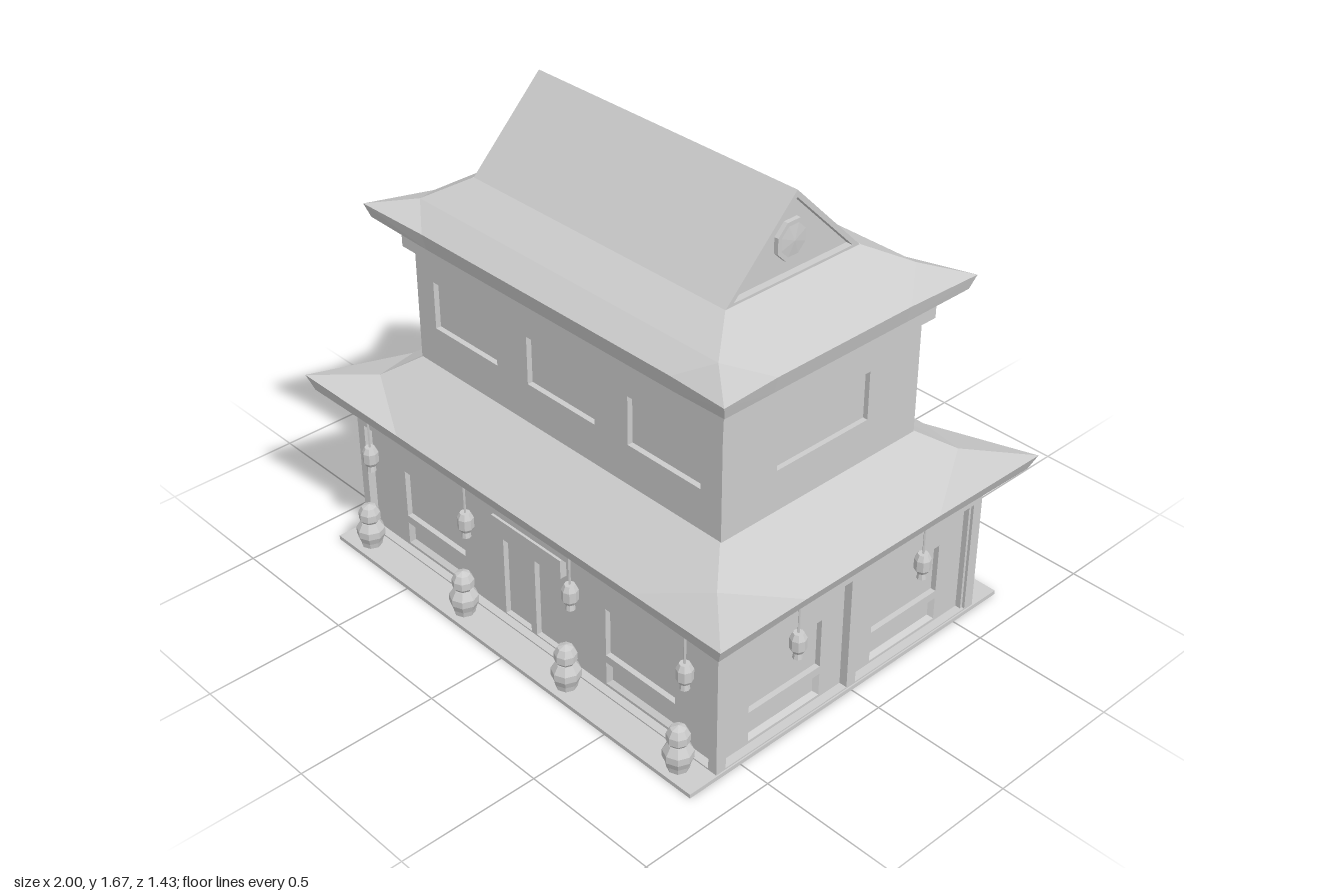
import * as THREE from 'three';

const grey = new THREE.MeshStandardMaterial({ color: 0xcccccc, flatShading: true });

function add(parent, name, geo, x = 0, y = 0, z = 0) {
  const mesh = new THREE.Mesh(geo, grey);
  mesh.name = name;
  mesh.position.set(x, y, z);
  parent.add(mesh);
  return mesh;
}

// Skin over a list of closed rings, each ring counter-clockwise seen from outside
function loft(rings) {
  const pos = [];
  for (let i = 0; i + 1 < rings.length; i++) {
    const n = rings[i].length;
    for (let j = 0; j < n; j++) {
      const k = (j + 1) % n;
      const a = rings[i][j], b = rings[i][k], c = rings[i + 1][k], d = rings[i + 1][j];
      pos.push(...(j % 3 === 0 ? [a, b, d, b, c, d] : [a, b, c, a, c, d]).flat());
    }
  }
  const geo = new THREE.BufferGeometry();
  geo.setAttribute('position', new THREE.Float32BufferAttribute(pos, 3));
  geo.computeVertexNormals();
  return geo;
}

// Ring of a roof skirt: a corner point and the straight stretch of each eave
function roofRing([cx, cy, cz], [ex, ey, ez], mx, mz) {
  return [
    [-cx, cy, cz], [-mx, ey, ez], [mx, ey, ez],
    [cx, cy, cz], [ex, ey, mz], [ex, ey, -mz],
    [cx, cy, -cz], [mx, ey, -ez], [-mx, ey, -ez],
    [-cx, cy, -cz], [-ex, ey, -mz], [-ex, ey, mz],
  ];
}

function rectPath(Type, [x0, y0, x1, y1]) {
  return new Type([[x0, y0], [x1, y0], [x1, y1], [x0, y1]].map(p => new THREE.Vector2(...p)));
}

// Wall layer with rectangular openings, its front at z = front
function wallLayer(parent, name, rect, openings, front, depth) {
  const shape = rectPath(THREE.Shape, rect);
  shape.holes = openings.map(o => rectPath(THREE.Path, o));
  add(parent, name, new THREE.ExtrudeGeometry(shape, { depth, bevelEnabled: false }), 0, 0, front - depth);
}

// Sunken panel with sloping edges
function slopedPanel(parent, [x0, y0, x1, y1], front, depth) {
  const s = 0.014;
  const r = (i, z) => [[x0 + i, y0 + i, z], [x1 - i, y0 + i, z], [x1 - i, y1 - i, z], [x0 + i, y1 - i, z]];
  add(parent, 'lowerPanelEdge', loft([r(0, front), r(s, front - depth)]));
}

function facade(parent, name, turn) {
  const g = new THREE.Group();
  g.name = name;
  g.rotation.y = turn;
  parent.add(g);
  return g;
}

const windowAt = x => [x - 0.158, 0.145, x + 0.158, 0.33];
const panelAt = x => [x - 0.158, 0.03, x + 0.158, 0.115];

// One ground floor side: outer frame, inner wall with openings, solid core behind
function groundSide(parent, name, turn, half, dist, bays, windows, doors) {
  const g = facade(parent, name, turn);
  wallLayer(g, 'wallFrame', [-half, 0.015, half, 0.52], bays, dist, 0.03);
  const panels = windows.map(panelAt);
  wallLayer(g, 'innerWall', [-half + 0.01, 0.015, half - 0.01, 0.5],
    [...windows.map(windowAt), ...panels, ...doors], dist - 0.03, 0.02);
  panels.forEach(p => slopedPanel(g, p, dist - 0.03, 0.016));
  panels.forEach(([x0, y0, x1, y1]) =>
    add(g, 'lowerPanel', new THREE.BoxGeometry(x1 - x0 - 0.02, y1 - y0 - 0.02, 0.01),
      (x0 + x1) / 2, (y0 + y1) / 2, dist - 0.051));
  return g;
}

function upperSide(parent, name, turn, half, dist, windows) {
  const g = facade(parent, name, turn);
  wallLayer(g, 'upperWall', [-half, 0.6, half, 1.14], windows, dist, 0.02);
}

const lathe = (pts, sides = 8) =>
  new THREE.LatheGeometry(pts.map(p => new THREE.Vector2(...p)), sides);

function lantern(parent, x, z) {
  const g = new THREE.Group();
  g.name = 'lantern';
  g.position.set(x, 0, z);
  add(g, 'lanternBody', lathe([[0, 0.335], [0.018, 0.335], [0.028, 0.35], [0.028, 0.388], [0.018, 0.408], [0, 0.408]]));
  add(g, 'lanternFoot', lathe([[0, 0.312], [0.017, 0.312], [0.013, 0.336], [0, 0.336]]));
  add(g, 'lanternCord', new THREE.CylinderGeometry(0.004, 0.004, 0.125, 5), 0, 0.465, 0);
  parent.add(g);
}

function gardenStatue(parent, x, z) {
  const g = new THREE.Group();
  g.name = 'gardenStatue';
  g.position.set(x, 0, z);
  add(g, 'statueBody', lathe([[0, 0.015], [0.036, 0.015], [0.04, 0.035], [0.05, 0.06], [0.05, 0.085], [0.033, 0.112], [0, 0.112]]));
  add(g, 'statueHead', lathe([[0, 0.108], [0.026, 0.108], [0.038, 0.124], [0.038, 0.15], [0.026, 0.172], [0, 0.182]]));
  parent.add(g);
}

export function createModel() {
  const model = new THREE.Group();
  model.name = 'twoStoreyHall';
  const H = Math.PI / 2;

  // Base and ground floor
  add(model, 'baseSlab', new THREE.BoxGeometry(1.77, 0.015, 1.43), 0, 0.0075, 0);
  add(model, 'groundCore', new THREE.BoxGeometry(1.66, 0.5, 1.1), 0, 0.26, 0);
  const longBay = [[-0.845, 0.02, 0.845, 0.445]];
  const sideBays = [[-0.56, 0.02, -0.02, 0.445], [0.02, 0.02, 0.56, 0.445]];
  const doors = [[-0.145, 0.025, -0.015, 0.33], [0.012, 0.025, 0.142, 0.33]];
  const front = groundSide(model, 'groundFront', 0, 0.88, 0.6, longBay, [-0.51, 0.51], doors);
  add(front, 'doorSign', new THREE.BoxGeometry(0.34, 0.07, 0.03), 0, 0.393, 0.58);
  groundSide(model, 'groundBack', 2 * H, 0.88, 0.6, longBay, [-0.51, 0, 0.51], []);
  groundSide(model, 'groundLeft', H, 0.57, 0.88, sideBays, [-0.277, 0.277], []);
  groundSide(model, 'groundRight', -H, 0.57, 0.88, sideBays, [-0.277, 0.277], []);

  // Upper floor
  add(model, 'upperCore', new THREE.BoxGeometry(1.39, 0.54, 0.82), 0, 0.87, 0);
  const longWindows = [-0.467, 0, 0.467].map(x => [x - 0.158, 0.86, x + 0.158, 1.035]);
  const sideWindow = [[-0.2, 0.86, 0.2, 1.035]];
  upperSide(model, 'upperFront', 0, 0.713, 0.43, longWindows);
  upperSide(model, 'upperBack', 2 * H, 0.713, 0.43, longWindows);
  upperSide(model, 'upperLeft', H, 0.41, 0.713, sideWindow);
  upperSide(model, 'upperRight', -H, 0.41, 0.713, sideWindow);
  add(model, 'upperCornice', new THREE.BoxGeometry(1.485, 0.075, 0.915), 0, 1.17, 0);

  // Roof skirts with upturned corners: underside, fascia, slope
  const flat = (x, y, z, mx, mz) => roofRing([x, y, z], [x, y, z], mx, mz);
  add(model, 'lowerRoof', loft([
    flat(0.8, 0.52, 0.52, 0.57, 0.3),
    roofRing([0.975, 0.572, 0.695], [0.925, 0.52, 0.645], 0.57, 0.3),
    roofRing([1, 0.628, 0.713], [0.945, 0.566, 0.66], 0.57, 0.3),
    flat(0.81, 0.642, 0.54, 0.57, 0.3),
    flat(0.705, 0.717, 0.425, 0.57, 0.3),
  ]));
  add(model, 'upperRoofSkirt', loft([
    flat(0.7, 1.2, 0.42, 0.55, 0.27),
    roofRing([0.81, 1.238, 0.523], [0.77, 1.2, 0.488], 0.57, 0.285),
    roofRing([0.825, 1.287, 0.54], [0.785, 1.26, 0.503], 0.57, 0.285),
    flat(0.68, 1.318, 0.42, 0.57, 0.285),
    flat(0.57, 1.387, 0.285, 0.57, 0.285),
  ]));

  // Gabled top with sunken triangular ends
  const tri = (Type, w, y0, y1) =>
    new Type([[-w, y0], [w, y0], [0, y1]].map(p => new THREE.Vector2(...p)));
  const prism = (shape, half) =>
    new THREE.ExtrudeGeometry(shape, { depth: 2 * half, bevelEnabled: false }).translate(0, 0, -half).rotateY(H);
  const gable = tri(THREE.Shape, 0.285, 1.385, 1.672);
  gable.holes.push(tri(THREE.Path, 0.252, 1.396, 1.648));
  add(model, 'gableRoof', prism(gable, 0.57));
  add(model, 'gableInfill', prism(tri(THREE.Shape, 0.265, 1.39, 1.655), 0.545));
  for (const s of [1, -1]) {
    const disc = lathe([[0.07, 0], [0.07, 0.016], [0.055, 0.016], [0, 0.022]]);
    const vent = add(model, 'gableDisc', disc.rotateY(Math.PI / 8).rotateZ(-H), s * 0.545, 1.505, 0);
    if (s < 0) vent.rotation.y = Math.PI;
  }

  // Hanging lanterns and garden statues
  for (const s of [1, -1]) {
    for (const x of [-0.773, -0.258, 0.258, 0.773]) {
      lantern(model, x, s * 0.632);
      gardenStatue(model, x, s * 0.657);
    }
    for (const z of [-0.285, 0.285]) lantern(model, s * 0.905, z);
  }
  return model;
}
